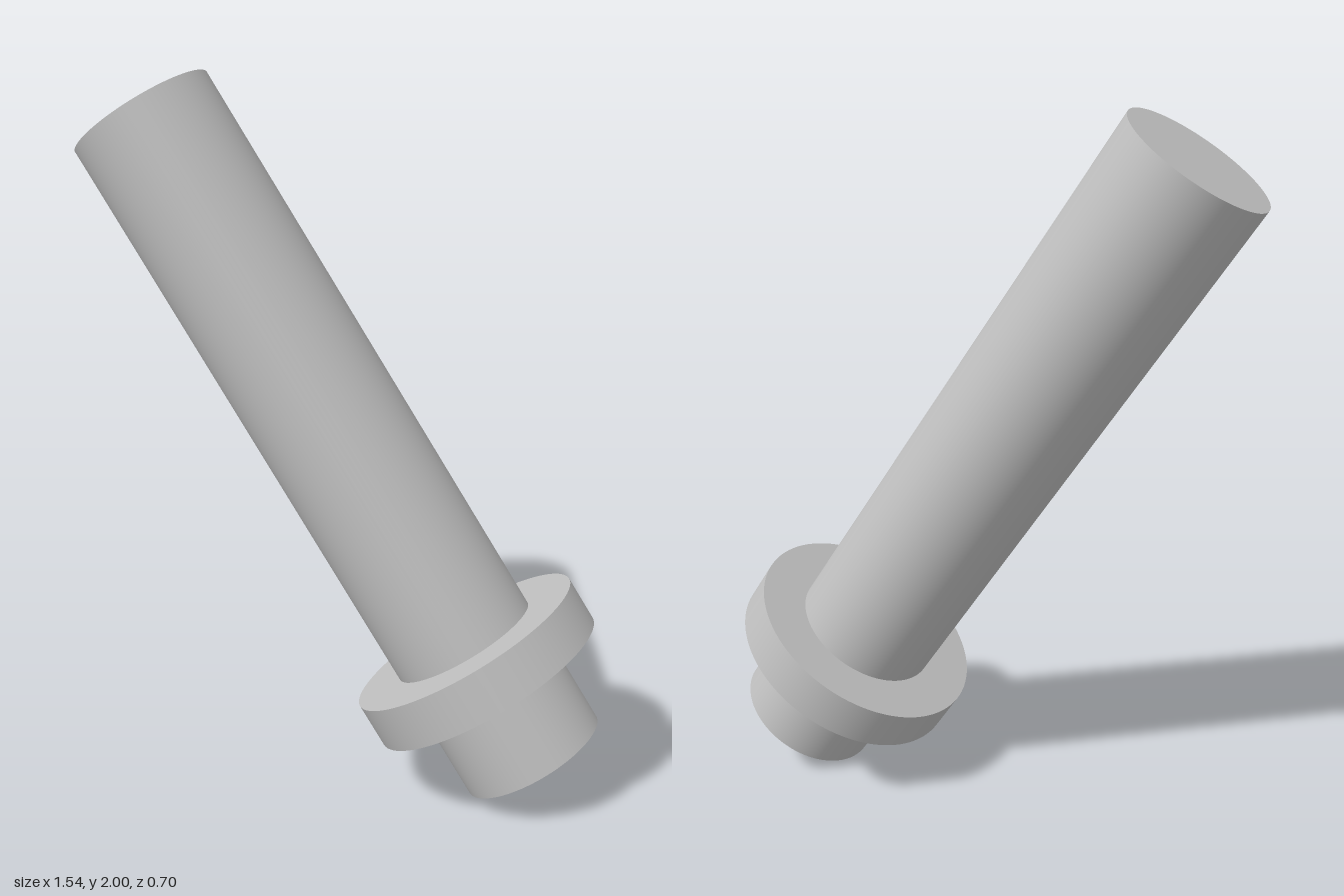
import * as THREE from 'three';

const LENGTH = 2.125;
const TILT = THREE.MathUtils.degToRad(33.87);

export function createModel() {
  const grey = new THREE.MeshStandardMaterial({ color: 0xc0c0c0 });
  grey.name = 'grey';

  const model = new THREE.Group();
  model.name = 'flangedPin';

  // The pin is built upright along its axis, centred, then tilted as a whole
  const pin = new THREE.Group();
  pin.name = 'pin';
  pin.position.y = 1;
  pin.rotation.z = TILT;
  model.add(pin);

  // Solid cylinder between two distances from the lower end
  const section = (name, radius, from, to) => {
    const mesh = new THREE.Mesh(new THREE.CylinderGeometry(radius, radius, to - from, 96), grey);
    mesh.name = name;
    mesh.position.y = (from + to) / 2 - LENGTH / 2;
    pin.add(mesh);
  };

  section('shortEnd', 0.213, 0, 0.257);
  section('collar', 0.349, 0.257, 0.388);
  section('shaft', 0.213, 0.388, LENGTH);

  return model;
}
